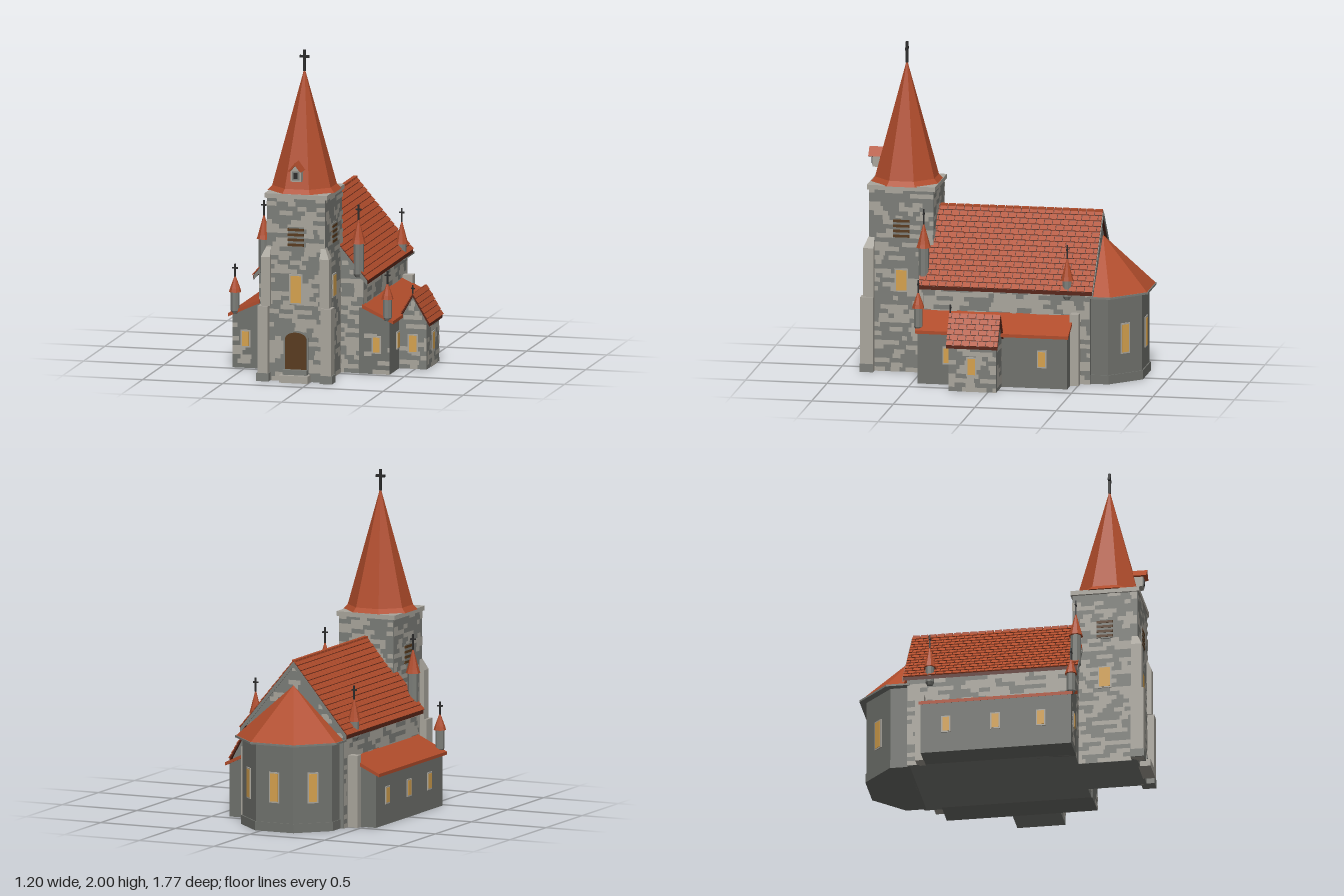
import * as THREE from 'three';
import { mergeGeometries } from 'three/addons/utils/BufferGeometryUtils.js';
import { ConvexGeometry } from 'three/addons/geometries/ConvexGeometry.js';

const CX = -0.09; // axis of nave and tower
const TZ = 0.62;  // tower centre in z

export function createModel() {
  const root = new THREE.Group();
  root.name = 'church';
  const paint = (name, color) => {
    const m = new THREE.MeshStandardMaterial({ color });
    m.name = name;
    return m;
  };
  const pale = paint('paleStone', 0xaaa69d);
  const grey = paint('greyStone', 0x7c7e79);
  const plain = paint('plainWall', 0x70726d);
  const red = paint('roofRed', 0xb04c2b);
  const gap = paint('tileGap', 0x582518);
  const gold = paint('windowGold', 0xd6a24e);
  const wood = paint('doorWood', 0x593b1e);
  const iron = paint('iron', 0x2b2b2b);

  let seed = 7;
  const rand = () => (seed = (seed * 16807) % 2147483647) / 2147483647;

  const add = (name, geo, mat) => {
    const m = new THREE.Mesh(geo, mat);
    m.name = name;
    root.add(m);
    return m;
  };
  const flat = (g) => {
    const f = g.index ? g.toNonIndexed() : g;
    f.computeVertexNormals();
    return f;
  };
  const box = (name, mat, x0, x1, y0, y1, z0, z1) =>
    add(name, new THREE.BoxGeometry(x1 - x0, y1 - y0, z1 - z0)
      .translate((x0 + x1) / 2, (y0 + y1) / 2, (z0 + z1) / 2), mat);
  // x/y outline drawn out from z0 to z1
  const prism = (name, mat, pts, z0, z1) =>
    add(name, new THREE.ExtrudeGeometry(new THREE.Shape(pts.map((p) => new THREE.Vector2(...p))),
      { depth: z1 - z0, bevelEnabled: false }).translate(0, 0, z0), mat);
  // x/z footprint raised from y0 to y1
  const raise = (name, mat, pts, y0, y1) =>
    add(name, new THREE.ExtrudeGeometry(new THREE.Shape(pts.map(([x, z]) => new THREE.Vector2(x, -z))),
      { depth: y1 - y0, bevelEnabled: false }).rotateX(-Math.PI / 2).translate(0, y0, 0), mat);
  // thin plate on a wall facing angle a
  const plate = (name, mat, w, h, x, y, z, a, d = 0.018) =>
    add(name, new THREE.BoxGeometry(w, h, d).rotateY(a).translate(x, y, z), mat);
  const windowAt = (w, h, x, y, z, a) => {
    plate('windowFrame', pale, w + 0.018, h + 0.018, x, y, z, a, 0.013);
    plate('windowPane', gold, w, h, x, y, z, a);
  };

  // scattered pale blocks on a wall; width may vary with height
  const blocks = [];
  const masonry = (x, z, a, width, y0, y1, density = 0.5) => {
    const row = 0.0275;
    for (let y = y0; y < y1 - 0.005; y += row) {
      const h = Math.min(row, y1 - y);
      const w = typeof width === 'function' ? width(y + h) : width;
      for (let u = -w / 2; u < w / 2 - 0.004;) {
        const len = Math.min(0.03 + rand() * 0.06, w / 2 - u);
        if (rand() < density)
          blocks.push(new THREE.PlaneGeometry(len, h).translate(u + len / 2, y + h / 2, 0.004)
            .rotateY(a).translate(x, 0, z));
        u += len;
      }
    }
  };

  // staggered tile courses on both slopes of a ridge running along z
  const tiles = (rx, ry, dx, dy, z0, z1, rows, pitch) => {
    const list = [];
    const L = Math.hypot(dx, dy), step = L / rows;
    for (const s of [1, -1]) for (let r = 0; r < rows; r++) {
      const v = (r + 0.5) / rows;
      const angle = Math.atan2(-dy, s * dx) + s * 0.09;
      for (let z = z0 - (r % 2) * pitch / 2; z < z1 - 0.004; z += pitch) {
        const a = Math.max(z, z0), b = Math.min(z + pitch - 0.005, z1);
        if (b - a < 0.004) continue;
        list.push(new THREE.BoxGeometry(step * 0.9, 0.006, b - a).rotateZ(angle)
          .translate(rx + s * (dx * v + dy / L * 0.003), ry - dy * v + dx / L * 0.003, (a + b) / 2));
      }
    }
    add('roofTiles', mergeGeometries(list), red);
  };
  const gableRoof = (name, rx, ry, dx, dy, t, z0, z1) =>
    prism(name, gap, [[rx, ry], [rx - dx, ry - dy], [rx - dx, ry - dy - t], [rx, ry - t],
      [rx + dx, ry - dy - t], [rx + dx, ry - dy]], z0, z1);

  const cross = (x, z, y0, y1, t, w) => {
    box('crossPost', iron, x - t / 2, x + t / 2, y0, y1, z - t / 2, z + t / 2);
    const y = y1 - (y1 - y0) * 0.32;
    box('crossBar', iron, x - w / 2, x + w / 2, y - t / 2, y + t / 2, z - t / 2, z + t / 2);
  };
  const octagonal = (name, mat, pts, x, z) =>
    add(name, flat(new THREE.LatheGeometry(pts.map((p) => new THREE.Vector2(...p)), 8, Math.PI / 8))
      .translate(x, 0, z), mat);
  const pinnacle = (x, z, r, y0, y1, y2, top) => {
    octagonal('pinnacleShaft', grey, [[0, y0], [r * 0.6, y0], [r, y0 + 0.02], [r, y1], [0, y1]], x, z);
    octagonal('pinnacleRoof', red, [[0, y1 - 0.012], [r * 1.4, y1 - 0.012], [r * 1.15, y1 + 0.012], [0, y2]], x, z);
    cross(x, z, y2 - 0.015, top, 0.009, 0.034);
  };

  // Tower
  box('towerBody', grey, -0.272, 0.092, 0, 1.13, 0.424, 0.82);
  masonry(CX, 0.82, 0, 0.364, 0, 1.12);
  masonry(0.092, TZ, Math.PI / 2, 0.396, 0, 1.12);
  masonry(-0.272, TZ, -Math.PI / 2, 0.396, 0, 1.12);
  masonry(CX, 0.424, Math.PI, 0.364, 0.8, 1.12);
  box('towerCornice', pale, -0.285, 0.105, 1.12, 1.148, 0.412, 0.83);
  octagonal('spire', red, [[0, 1.145], [0.225, 1.145], [0.197, 1.175], [0, 1.89]], CX, TZ);
  cross(CX, TZ, 1.87, 2, 0.015, 0.058);

  // Corner buttresses with sloped heads
  for (const s of [-1, 1]) {
    const at = (a, b) => [Math.min(CX + s * a, CX + s * b), Math.max(CX + s * a, CX + s * b)];
    box('buttressFoot', grey, ...at(0.16, 0.236), 0, 0.05, 0.785, 0.868);
    box('buttressLower', pale, ...at(0.165, 0.23), 0, 0.46, 0.785, 0.865);
    box('buttressUpper', pale, ...at(0.155, 0.212), 0.46, 0.76, 0.785, 0.85);
    const head = [];
    for (const [y, x1, z1] of [[0.76, 0.212, 0.85], [0.825, 0.183, 0.822]])
      for (const x of [0.155, x1]) for (const z of [0.785, z1])
        head.push(new THREE.Vector3(CX + s * x, y, z));
    add('buttressHead', new ConvexGeometry(head), pale);
  }

  // Belfry louvres and tower windows
  for (const [x, z, a] of [[CX, 0.82, 0], [0.092, TZ, Math.PI / 2], [-0.272, TZ, -Math.PI / 2]]) {
    plate('louvreBack', grey, 0.1, 0.125, x, 0.885, z, a, 0.013);
    for (let i = 0; i < 4; i++) plate('louvreSlat', wood, 0.1, 0.016, x, 0.838 + i * 0.031, z, a);
    windowAt(0.065, a ? 0.125 : 0.165, x, 0.565, z, a);
  }

  // Door and steps
  const arch = (w, h, y0, d) => {
    const s = new THREE.Shape();
    s.moveTo(-w / 2, y0).lineTo(w / 2, y0).lineTo(w / 2, h - w * 0.35);
    s.bezierCurveTo(w * 0.42, h, -w * 0.42, h, -w / 2, h - w * 0.35);
    return new THREE.ExtrudeGeometry(s, { depth: d, bevelEnabled: false, curveSegments: 10 }).translate(CX, 0, 0.82);
  };
  add('doorFrame', arch(0.155, 0.325, 0.05, 0.007), grey);
  add('door', arch(0.132, 0.312, 0.07, 0.0095), wood);
  box('lowerStep', pale, -0.18, 0, 0, 0.045, 0.81, 0.885);
  box('upperStep', grey, -0.165, -0.015, 0.045, 0.075, 0.81, 0.86);

  // Spire dormer
  box('dormerBody', pale, CX - 0.033, CX + 0.033, 1.225, 1.295, 0.68, 0.825);
  prism('dormerGable', pale, [[CX - 0.033, 1.295], [CX + 0.033, 1.295], [CX, 1.33]], 0.7, 0.825);
  prism('dormerRoof', red, [[CX, 1.345], [CX - 0.045, 1.292], [CX - 0.033, 1.288], [CX, 1.328],
    [CX + 0.033, 1.288], [CX + 0.045, 1.292]], 0.64, 0.85);
  plate('dormerFrame', grey, 0.045, 0.055, CX, 1.262, 0.825, 0, 0.01);
  plate('dormerOpening', iron, 0.026, 0.036, CX, 1.262, 0.825, 0);

  // Nave
  const gable = (y) => y < 0.585 ? 0.65 : Math.max(0, (0.98 - y) * 1.6);
  prism('naveBody', grey, [[-0.415, 0], [0.235, 0], [0.235, 0.59], [CX, 0.985], [-0.415, 0.59]], -0.565, 0.46);
  masonry(CX, 0.46, 0, gable, 0, 0.96);
  masonry(CX, -0.565, Math.PI, gable, 0.5, 0.96, 0.3);
  for (const s of [-1, 1]) {
    masonry(CX + s * 0.325, -0.0525, s * Math.PI / 2, 1.02, 0.4, 0.58, 0.55);
    masonry(CX + s * 0.325, -0.51, s * Math.PI / 2, 0.11, 0, 0.4, 0.5);
  }
  gableRoof('naveRoof', CX, 1.002, 0.357, 0.428, 0.022, -0.583, 0.482);
  tiles(CX, 1.003, 0.36, 0.43, -0.583, 0.482, 15, 0.05);
  for (let z = -0.58; z < 0.45; z += 0.05)
    box('ridgeTile', red, CX - 0.012, CX + 0.012, 0.995, 1.01, z, z + 0.043);
  for (const [z0, z1] of [[-0.588, -0.583], [0.482, 0.486]])
    gableRoof('gableTrim', CX, 1.0, 0.355, 0.427, 0.03, z0, z1).material = grey;

  // Aisles, mirrored about the nave axis
  for (const s of [-1, 1]) {
    const mx = (pts) => pts.map(([x, y]) => [CX + s * x, y]);
    prism('aisleBody', plain, mx([[0.3, 0], [0.49, 0], [0.49, 0.325], [0.32, 0.405], [0.3, 0.405]]), -0.455, 0.465);
    prism('aisleRoof', red, mx([[0.32, 0.425], [0.515, 0.332], [0.515, 0.312], [0.32, 0.402]]), -0.465, 0.475);
    masonry(CX + s * 0.41, 0.465, 0, 0.16, 0, 0.32, 0.25);
    windowAt(0.042, 0.09, CX + s * 0.408, 0.18, 0.465, 0);
    for (const z of s > 0 ? [0.28, -0.3] : [0.28, 0, -0.3])
      windowAt(0.042, 0.09, CX + s * 0.49, 0.18, z, s * Math.PI / 2);
    // rear corner buttress
    const bx = CX + s * 0.35;
    box('naveButtress', pale, bx - 0.04, bx + 0.04, 0, 0.44, -0.505, -0.452);
    // pinnacles
    pinnacle(CX + s * 0.295, 0.462, 0.032, 0.59, 0.81, 0.955, 1.035);
    pinnacle(CX + s * 0.475, 0.462, 0.027, 0.33, 0.475, 0.57, 0.635);
    pinnacle(CX + s * 0.33, -0.425, 0.028, 0.52, 0.65, 0.785, 0.855);
  }

  // Side porch
  prism('porchBody', grey, [[0.395, 0], [0.572, 0], [0.572, 0.29], [0.487, 0.445], [0.4, 0.29]], -0.052, 0.242);
  masonry(0.487, 0.242, 0, (y) => y < 0.29 ? 0.17 : Math.max(0, (0.435 - y) * 1.1), 0, 0.42, 0.4);
  masonry(0.572, 0.095, Math.PI / 2, 0.29, 0, 0.28, 0.5);
  masonry(0.487, -0.052, Math.PI, 0.16, 0, 0.28, 0.4);
  gableRoof('porchRoof', 0.487, 0.462, 0.104, 0.178, 0.018, -0.063, 0.252);
  tiles(0.487, 0.463, 0.106, 0.18, -0.063, 0.252, 6, 0.05);
  windowAt(0.046, 0.1, 0.487, 0.155, 0.242, 0);
  windowAt(0.046, 0.1, 0.572, 0.155, 0.1, Math.PI / 2);
  cross(0.487, 0.246, 0.45, 0.515, 0.008, 0.022);

  // Apse
  const foot = (o) => [[-0.39 - o, -0.55], [0.21 + o, -0.55], [0.21 + o, -0.67 - o * 0.5],
    [0.035 + o * 0.5, -0.845 - o], [-0.215 - o * 0.5, -0.845 - o], [-0.39 - o, -0.67 - o * 0.5]];
  raise('apseWall', plain, foot(0), 0, 0.545);
  raise('apsePlinth', plain, foot(0.007), 0, 0.055);
  raise('apseGutter', grey, foot(0.04), 0.53, 0.542);
  const eave = foot(0.034).map(([x, z]) => new THREE.Vector3(x, 0.542, Math.min(z, -0.583)));
  add('apseRoof', new ConvexGeometry([...eave, new THREE.Vector3(CX, 0.855, -0.583)]), red);
  windowAt(0.05, 0.17, CX, 0.27, -0.845, Math.PI);
  for (const s of [-1, 1])
    windowAt(0.05, 0.17, CX + s * 0.2125, 0.27, -0.7575, s * Math.PI * 0.75);

  add('paleBlocks', mergeGeometries(blocks), pale);
  return root;
}
